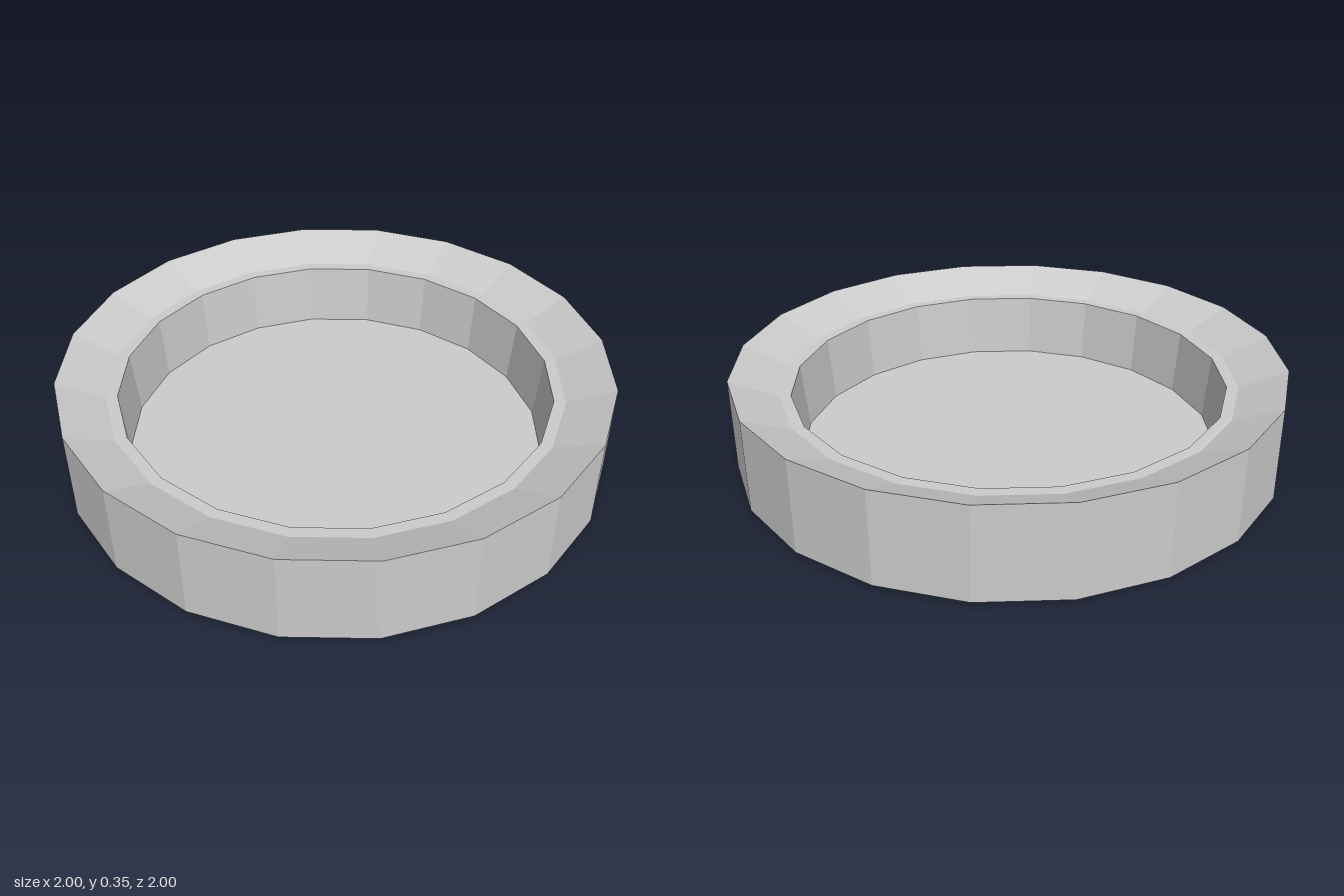
import * as THREE from 'three';

const SIDES = 20;

// Revolve a profile of [radius, height] points into a faceted part
function turned(name, profile, material) {
  const points = profile.map(([r, y]) => new THREE.Vector2(r, y));
  const mesh = new THREE.Mesh(new THREE.LatheGeometry(points, SIDES), material);
  mesh.name = name;
  return mesh;
}

export function createModel() {
  const group = new THREE.Group();
  group.name = 'roundDish';
  const material = new THREE.MeshStandardMaterial({
    color: 0xcccccc, flatShading: true, side: THREE.DoubleSide,
  });

  // Foot: shallow disc protruding under the wall
  group.add(turned('foot', [[0, 0], [0.83, 0], [0.83, 0.03]], material));

  // Wall: slightly undercut base, upright outside, inward-sloping rim,
  // narrow flat ledge and slightly tapered inside
  group.add(turned('wall', [
    [0.83, 0.03], [1, 0.01], [1, 0.35], [0.83, 0.275], [0.788, 0.275], [0.767, 0.035],
  ], material));

  // Floor of the dish
  group.add(turned('floor', [[0.767, 0.035], [0, 0.035]], material));

  return group;
}
